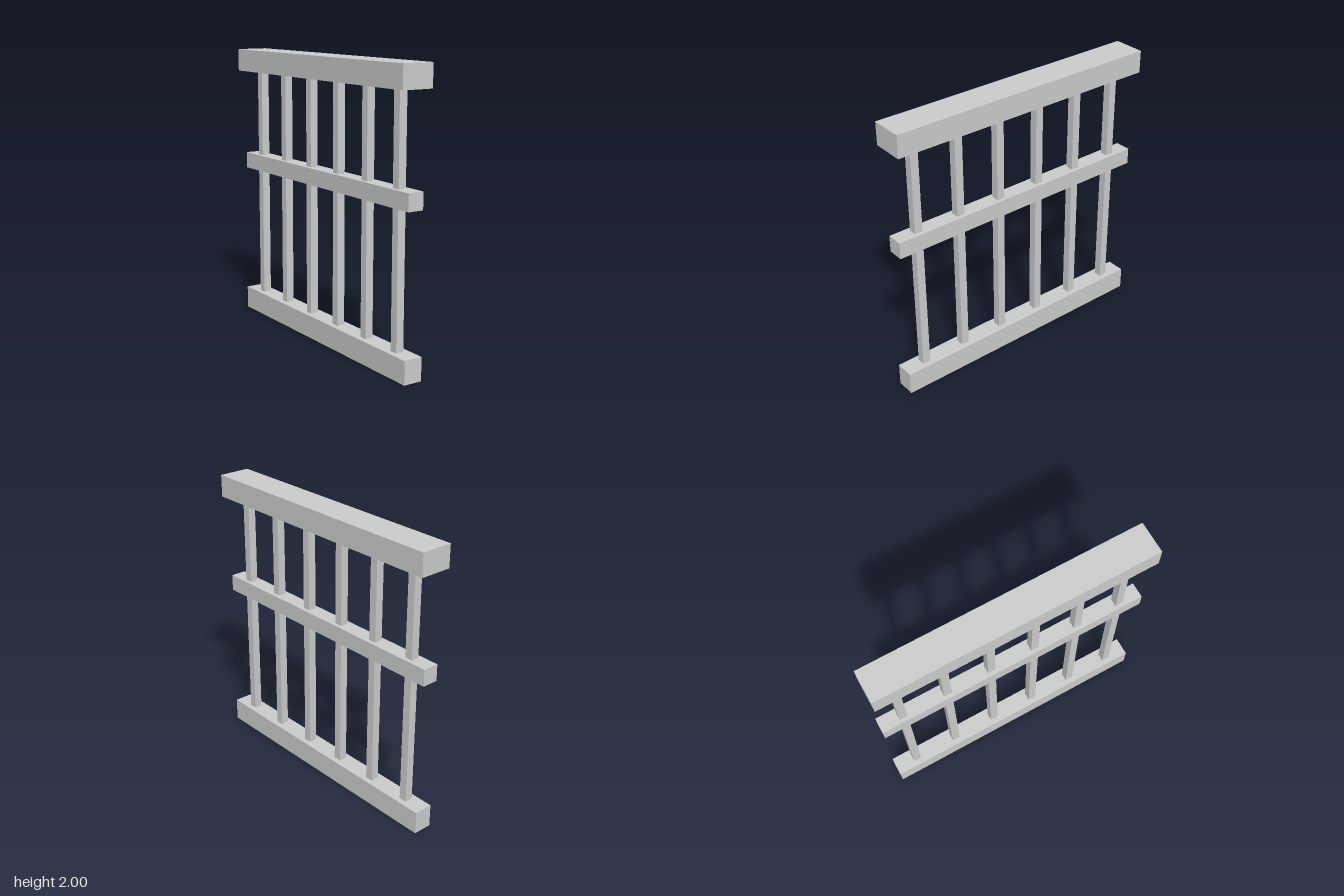
import * as THREE from 'three';

export function createModel() {
  const group = new THREE.Group();
  const material = new THREE.MeshStandardMaterial({ color: 0xcccccc, flatShading: true });

  // Box standing between two heights, centred on x = 0
  function addBar(name, width, bottom, top, depth, z = 0) {
    const mesh = new THREE.Mesh(new THREE.BoxGeometry(width, top - bottom, depth), material);
    mesh.name = name;
    mesh.position.set(0, (bottom + top) / 2, z);
    group.add(mesh);
  }

  // Horizontal rails
  const length = 1.977;
  addBar('bottomRail', 0.135, 0, 0.162, length);
  addBar('middleRail', 0.114, 1.105, 1.222, length);
  addBar('handrail', 0.228, 1.842, 2, length);

  // Evenly spaced square balusters, in two lengths between the rails
  const count = 6, spacing = 0.3295, thickness = 0.057;
  for (let i = 0; i < count; i++) {
    const z = (i - (count - 1) / 2) * spacing;
    addBar('lowerBaluster' + (i + 1), thickness, 0.162, 1.105, thickness, z);
    addBar('upperBaluster' + (i + 1), thickness, 1.222, 1.842, thickness, z);
  }
  return group;
}
